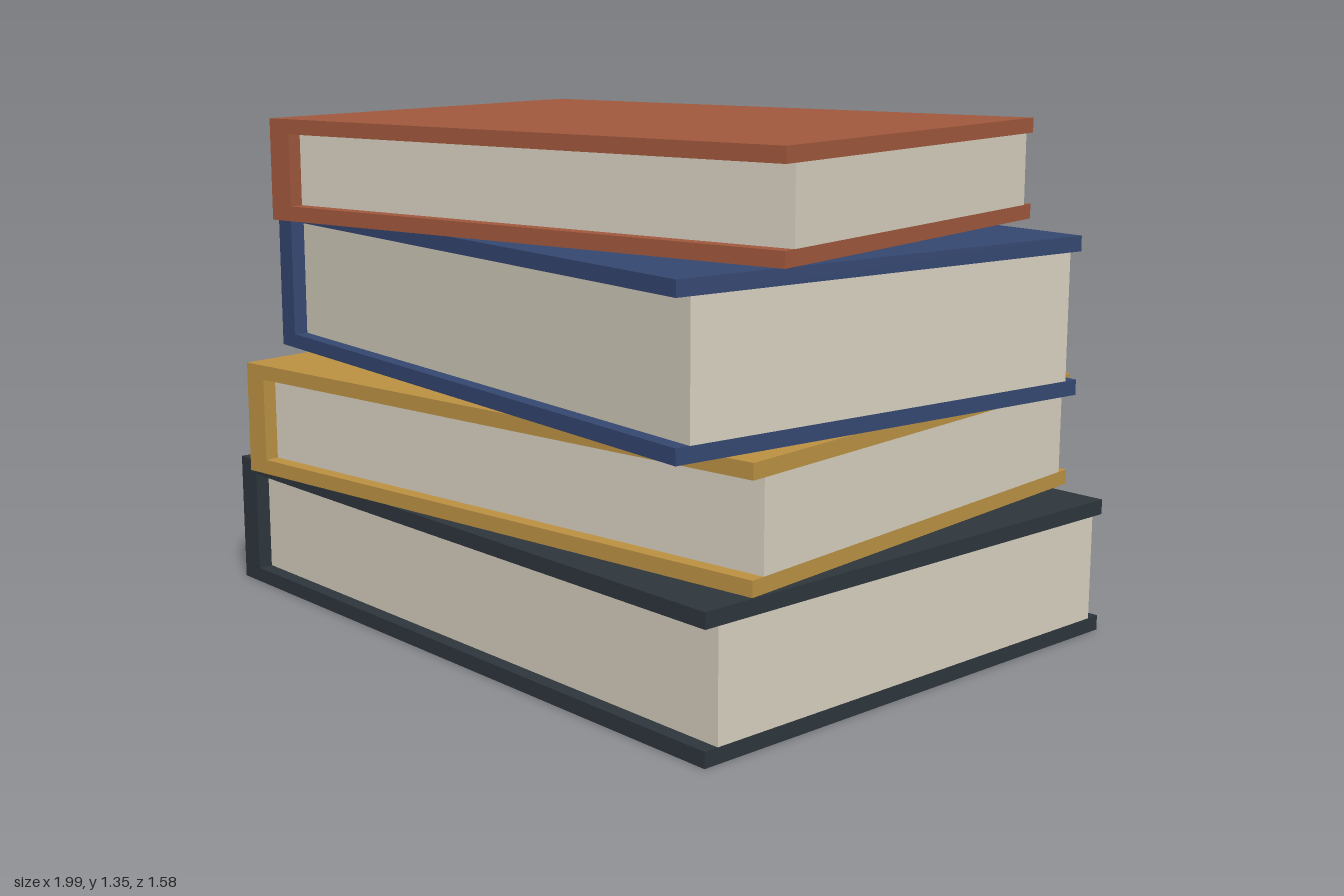
import * as THREE from 'three';

const COVER = 0.04; // board thickness
const INSET = 0.04; // pages set back from the board edges

const material = (name, color) => {
  const m = new THREE.MeshStandardMaterial({ color });
  m.name = name;
  return m;
};

// One hardback: a C-shaped cover with its spine at -x, wrapped round a page block
function makeBook(name, { w, d, h, spine, y, turn }, coverMaterial, pageMaterial) {
  const book = new THREE.Group();
  book.name = name;

  const l = -w / 2, r = w / 2, inner = l + spine;
  const profile = new THREE.Shape([
    [l, 0], [r, 0], [r, COVER], [inner, COVER],
    [inner, h - COVER], [r, h - COVER], [r, h], [l, h],
  ].map(([px, py]) => new THREE.Vector2(px, py)));
  const coverGeometry = new THREE.ExtrudeGeometry(profile, { depth: d, bevelEnabled: false });
  coverGeometry.translate(0, 0, -d / 2);
  const cover = new THREE.Mesh(coverGeometry, coverMaterial);
  cover.name = name + 'Cover';

  // Page block, flush with the boards at the fore edge
  const pages = new THREE.Mesh(
    new THREE.BoxGeometry(w - spine, h - 2 * COVER, d - 2 * INSET), pageMaterial);
  pages.position.set(spine / 2, h / 2, 0);
  pages.name = name + 'Pages';

  book.add(cover, pages);
  book.position.y = y;
  book.rotation.y = turn;
  return book;
}

export function createModel() {
  const model = new THREE.Group();
  model.name = 'bookStack';
  const paper = material('paper', 0xd6cfbe);

  // Books from bottom to top
  const books = [
    ['charcoalBook', 0x2d363c, { w: 1.96, d: 1.445, h: 0.36, spine: 0.077, turn: 0 }],
    ['ochreBook', 0xba9142, { w: 1.80, d: 1.376, h: 0.308, spine: 0.071, turn: 0.12 }],
    ['blueBook', 0x354771, { w: 1.89, d: 1.29, h: 0.41, spine: 0.076, turn: -0.087 }],
    ['rustBook', 0xa0583c, { w: 1.635, d: 1.236, h: 0.272, spine: 0.071, turn: 0.208 }],
  ];
  let y = 0;
  for (const [name, color, size] of books) {
    model.add(makeBook(name, { ...size, y }, material(name + 'Cloth', color), paper));
    y += size.h;
  }
  return model;
}
